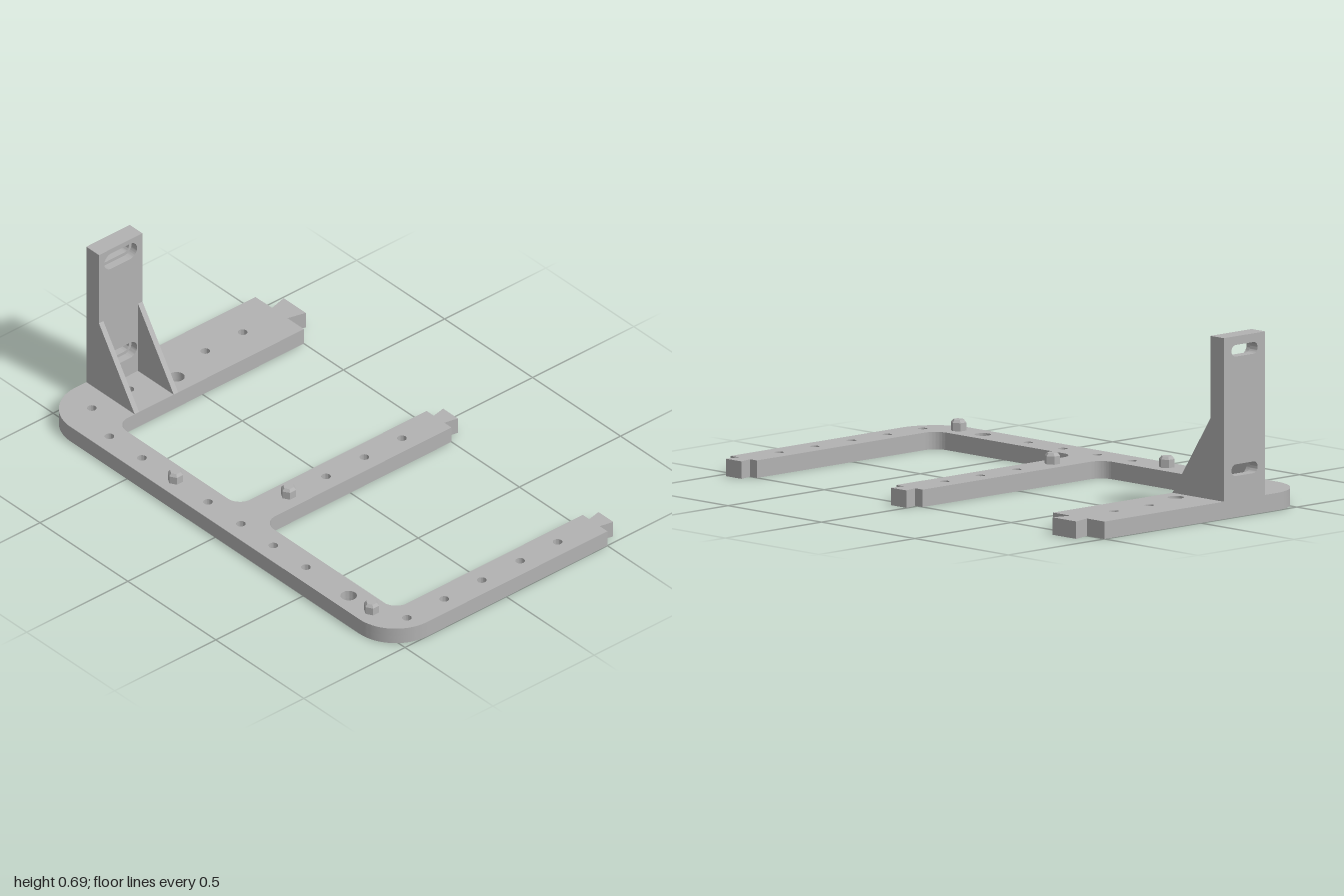
import * as THREE from 'three';
import { toCreasedNormals } from 'three/addons/utils/BufferGeometryUtils.js';

const TOP = 0.066;      // frame thickness
const POCKET = 0.033;   // depth of the hexagonal pockets underneath

// Screw holes and pegs as [x, z]
const smallHoles = [
  ...[-0.315, -0.13, 0.245, 0.43].map(z => [-0.86, z]),
  ...[-0.315, -0.13, 0.06].map(z => [0.045, z]),
  ...[-0.315, -0.13, 0.06, 0.245, 0.43].map(z => [0.93, z]),
  ...[-0.68, -0.495, -0.12, 0.067, 0.252, 0.437].map(x => [x, 0.5]),
];
const largeHoles = [[-0.805, 0.06], [0.68, 0.5]];
const pegs = [[0.045, 0.245], [-0.305, 0.5], [0.81, 0.5]];

function circle(x, y, r) {
  return new THREE.Path().absarc(x, y, r, 0, Math.PI * 2, true);
}

function hexagon(x, y, r) {
  const pts = [];
  for (let i = 0; i < 6; i++) {
    const a = i * Math.PI / 3;
    pts.push(new THREE.Vector2(x + r * Math.sin(a), y + r * Math.cos(a)));
  }
  return new THREE.Path(pts);
}

// Horizontal slot with round ends
function slot(x, y, halfLength, r) {
  const d = halfLength - r;
  const p = new THREE.Path();
  p.absarc(x + d, y, r, -Math.PI / 2, Math.PI / 2, false);
  p.absarc(x - d, y, r, Math.PI / 2, Math.PI * 1.5, false);
  p.closePath();
  return p;
}

function extrude(shape, depth) {
  return new THREE.ExtrudeGeometry(shape, { depth, bevelEnabled: false, curveSegments: 14 });
}

// Three-armed outline in x and z, with a dovetail at the end of each arm
function frameOutline() {
  const s = new THREE.Shape();
  const end = -0.5, inner = 0.43, front = 0.57, R = 0.18, r = 0.06;
  const dovetail = (cx, neck, wide, tip) => {
    s.lineTo(cx - neck, end);
    s.lineTo(cx - wide, tip);
    s.lineTo(cx + wide, tip);
    s.lineTo(cx + neck, end);
  };
  // Bay between two arms, with rounded inner corners
  const bay = (x0, x1) => {
    s.lineTo(x0, end);
    s.lineTo(x0, inner - r);
    s.absarc(x0 + r, inner - r, r, Math.PI, Math.PI / 2, true);
    s.lineTo(x1 - r, inner);
    s.absarc(x1 - r, inner - r, r, Math.PI / 2, 0, true);
    s.lineTo(x1, end);
  };
  s.moveTo(-1, end);
  dovetail(-0.862, 0.044, 0.063, -0.574);
  bay(-0.725, -0.027);
  dovetail(0.044, 0.03, 0.042, -0.556);
  bay(0.114, 0.86);
  dovetail(0.927, 0.03, 0.042, -0.556);
  s.lineTo(1, end);
  s.lineTo(1, front - R);
  s.absarc(1 - R, front - R, R, 0, Math.PI / 2, false);
  s.lineTo(-1 + R, front);
  s.absarc(-1 + R, front - R, R, Math.PI / 2, Math.PI, false);
  s.closePath();
  return s;
}

export function createModel() {
  const group = new THREE.Group();
  const grey = new THREE.MeshStandardMaterial({ color: 0xb2b2b2 });
  grey.name = 'grey plastic';

  const add = (name, geometry, parent = group) => {
    const mesh = new THREE.Mesh(toCreasedNormals(geometry, 0.5), grey);
    mesh.name = name;
    parent.add(mesh);
    return mesh;
  };

  // Frame in two layers: round holes above, hexagonal pockets below
  const frame = new THREE.Group();
  frame.name = 'frame';
  group.add(frame);
  const layer = (name, y, depth, makeHole) => {
    const shape = frameOutline();
    shape.holes.push(...smallHoles.map(([x, z]) => makeHole(x, z)));
    shape.holes.push(...largeHoles.map(([x, z]) => circle(x, z, 0.031)));
    add(name, extrude(shape, depth).rotateX(Math.PI / 2), frame).position.y = y;
  };
  layer('frameUpperLayer', TOP, TOP - POCKET, (x, z) => circle(x, z, 0.018));
  layer('frameLowerLayer', POCKET, POCKET, (x, z) => hexagon(x, z, 0.032));

  // Hexagonal pegs with chamfered tops
  pegs.forEach(([x, z]) => {
    const profile = [[0.03, 0], [0.03, 0.031], [0.021, 0.042], [0, 0.042]]
      .map(([r, y]) => new THREE.Vector2(r, y));
    add('peg', new THREE.LatheGeometry(profile, 6)).position.set(x, TOP, z);
  });

  // Upright bracket plate, its slots recessed on the inner face
  const bracket = new THREE.Group();
  bracket.name = 'bracket';
  group.add(bracket);
  const z0 = 0.121, z1 = 0.336, zMid = (z0 + z1) / 2, height = 0.685;
  const plate = (name, x, depth, halfLength, r) => {
    const shape = new THREE.Shape();
    shape.moveTo(-z1, TOP);
    shape.lineTo(-z0, TOP);
    shape.lineTo(-z0, height);
    shape.lineTo(-z1, height);
    shape.closePath();
    shape.holes.push(...[0.178, 0.63].map(y => slot(-zMid, y, halfLength, r)));
    add(name, extrude(shape, depth).rotateY(Math.PI / 2), bracket).position.x = x;
  };
  plate('uprightOuterLayer', -1, 0.04, 0.068, 0.022);
  plate('uprightInnerLayer', -0.96, 0.032, 0.081, 0.035);

  // Triangular gussets on both edges
  const thickness = 0.022;
  [z0, z1 - thickness].forEach(z => {
    const shape = new THREE.Shape();
    shape.moveTo(-0.928, TOP);
    shape.lineTo(-0.725, TOP);
    shape.lineTo(-0.928, 0.373);
    shape.closePath();
    add('gusset', extrude(shape, thickness), bracket).position.z = z;
  });

  return group;
}
